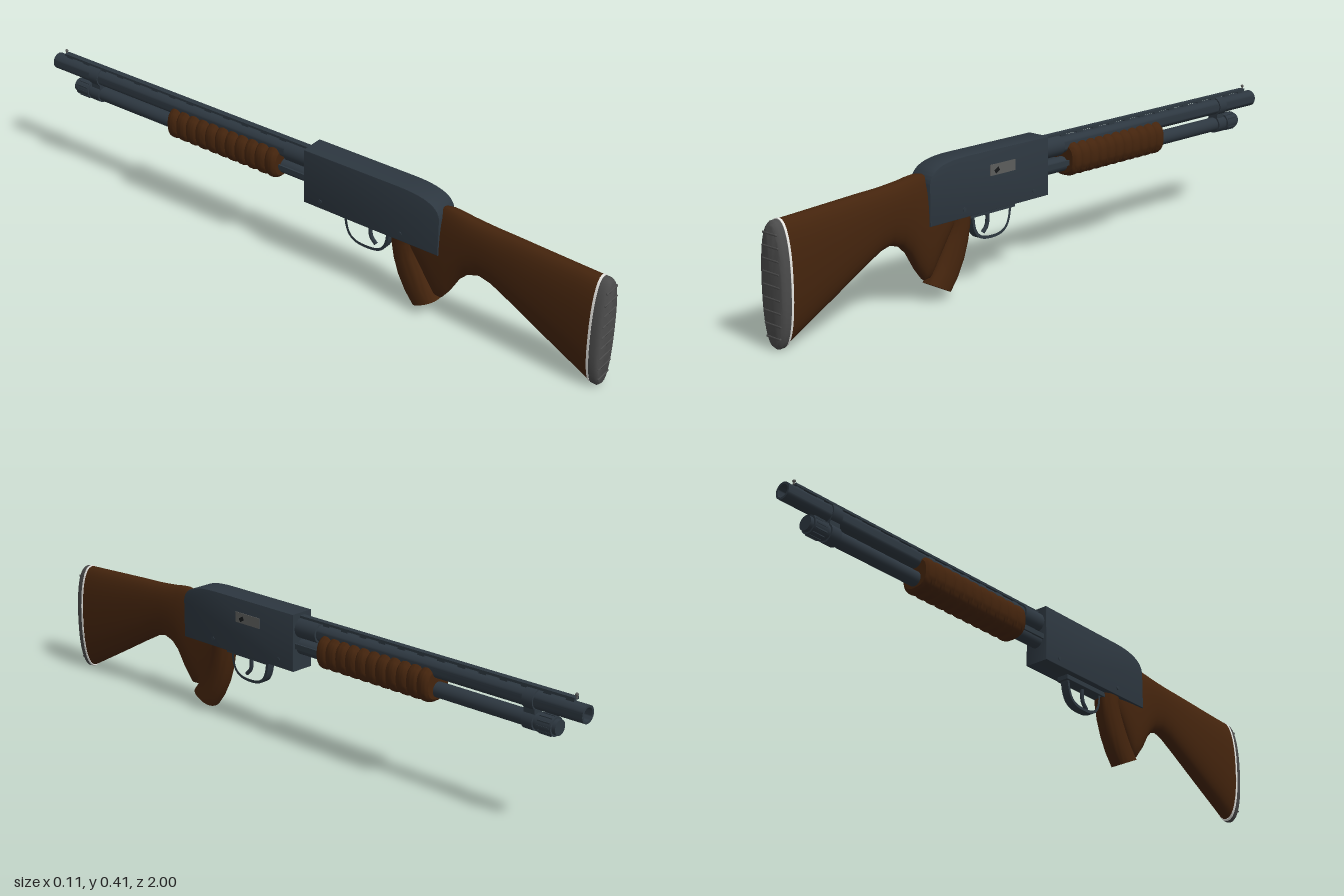
import * as THREE from 'three';
import { toCreasedNormals } from 'three/addons/utils/BufferGeometryUtils.js';

const mat = (name, color) => {
  const m = new THREE.MeshStandardMaterial({ color });
  m.name = name;
  return m;
};

// Loft through oval sections [bottomZ, bottomY, topZ, topY, halfWidth], squareness n
function loft(sections, n = 2.3, seg = 32) {
  const pos = [], index = [];
  const power = v => Math.sign(v) * Math.abs(v) ** (2 / n);
  for (const [z0, y0, z1, y1, w] of sections) {
    for (let j = 0; j < seg; j++) {
      const a = (j / seg) * Math.PI * 2;
      const s = (power(Math.sin(a)) + 1) / 2;
      pos.push(w * power(Math.cos(a)), y0 + (y1 - y0) * s, z0 + (z1 - z0) * s);
    }
  }
  const last = sections.length - 1;
  for (let i = 0; i < last; i++) {
    for (let j = 0; j < seg; j++) {
      const a = i * seg + j, b = i * seg + (j + 1) % seg;
      index.push(a, b, b + seg, a, b + seg, a + seg);
    }
  }
  for (const i of [0, last]) {
    const [z0, y0, z1, y1] = sections[i];
    const c = pos.length / 3;
    pos.push(0, (y0 + y1) / 2, (z0 + z1) / 2);
    for (let j = 0; j < seg; j++) {
      const a = i * seg + j, b = i * seg + (j + 1) % seg;
      if (i === 0) index.push(c, b, a); else index.push(c, a, b);
    }
  }
  const g = new THREE.BufferGeometry();
  g.setAttribute('position', new THREE.Float32BufferAttribute(pos, 3));
  g.setIndex(index);
  return toCreasedNormals(g, 0.65);
}

// Extrude a side profile drawn as (z, y) across the width
function sideExtrude(shape, width, bevel = 0) {
  const depth = width - 2 * bevel;
  const g = new THREE.ExtrudeGeometry(shape, {
    depth, curveSegments: 20, bevelEnabled: bevel > 0,
    bevelSize: bevel, bevelThickness: bevel, bevelOffset: -bevel, bevelSegments: 2
  });
  g.translate(0, 0, -depth / 2).rotateY(-Math.PI / 2);
  return toCreasedNormals(g, 0.5);
}

export function createModel() {
  const group = new THREE.Group();
  const steel = mat('blued steel', 0x2d3740);
  const wood = mat('walnut', 0x44240d);
  const rubber = mat('rubber', 0x4b4b4b);
  const white = mat('white spacer', 0xe8e8e4);
  const grey = mat('bolt grey', 0x5c5d5c);
  const black = mat('black', 0x17191b);

  const add = (name, geometry, material, x = 0, y = 0, z = 0) => {
    const m = new THREE.Mesh(geometry, material);
    m.name = name;
    m.position.set(x, y, z);
    group.add(m);
    return m;
  };
  const box = (name, material, w, h, d, x, y, z) =>
    add(name, new THREE.BoxGeometry(w, h, d), material, x, y, z);
  const rod = (name, r, z0, z1, y, material = steel) =>
    add(name, new THREE.CylinderGeometry(r, r, Math.abs(z1 - z0), 32).rotateX(Math.PI / 2),
      material, 0, y, (z0 + z1) / 2);

  // Receiver with a rounded rear shoulder
  const body = new THREE.Shape();
  body.moveTo(0.01, 0.228);
  body.lineTo(0.478, 0.228);
  body.lineTo(0.478, 0.345);
  body.bezierCurveTo(0.475, 0.385, 0.43, 0.403, 0.34, 0.403);
  body.lineTo(0.01, 0.403);
  add('receiver', sideExtrude(body, 0.077, 0.002), steel);
  box('ejectionPort', grey, 0.003, 0.032, 0.1, 0.039, 0.345, 0.198);
  box('portNotch', black, 0.002, 0.012, 0.018, 0.0405, 0.342, 0.222).rotation.x = 0.5;
  for (const [z, y] of [[0.35, 0.252], [0.07, 0.252]]) {
    add('receiverPin', new THREE.CylinderGeometry(0.006, 0.006, 0.081, 16).rotateZ(Math.PI / 2),
      steel, 0, y, z);
  }

  // Butt stock, neck and the first grip lobe
  const stock = [
    [0.36, 0.215, 0.36, 0.3, 0.024], [0.4, 0.155, 0.4, 0.32, 0.029],
    [0.435, 0.1, 0.435, 0.345, 0.032], [0.455, 0.07, 0.455, 0.36, 0.033],
    [0.475, 0.068, 0.475, 0.372, 0.034], [0.5, 0.1, 0.5, 0.376, 0.035],
    [0.53, 0.152, 0.53, 0.373, 0.035], [0.56, 0.182, 0.56, 0.368, 0.035],
    [0.6, 0.195, 0.6, 0.364, 0.035], [0.64, 0.185, 0.64, 0.361, 0.036],
    [0.7, 0.153, 0.7, 0.359, 0.038], [0.8, 0.097, 0.8, 0.354, 0.042],
    [0.9, 0.042, 0.9, 0.349, 0.045], [0.964, 0.007, 0.964, 0.346, 0.047]
  ];
  add('stock', loft(stock), wood);

  // Second grip, curving down and back behind the trigger
  add('pistolGrip', loft([
    [0.3, 0.24, 0.39, 0.25, 0.033], [0.305, 0.2, 0.378, 0.215, 0.034],
    [0.314, 0.15, 0.392, 0.175, 0.034], [0.33, 0.1, 0.412, 0.135, 0.034],
    [0.355, 0.052, 0.437, 0.092, 0.034], [0.383, 0.015, 0.464, 0.056, 0.034]
  ]), wood);

  // Spacer and ribbed butt pad
  add('spacer', loft([[0.964, 0.004, 0.964, 0.348, 0.0485], [0.971, 0.001, 0.971, 0.348, 0.0485]]), white);
  add('buttPad', loft([
    [0.971, 0.001, 0.971, 0.346, 0.0475], [0.987, 0, 0.987, 0.345, 0.047],
    [0.996, 0.008, 0.996, 0.338, 0.042], [0.998, 0.012, 0.998, 0.334, 0.038]
  ]), rubber);
  for (let i = 0; i < 9; i++) {
    const y = 0.035 + i * 0.0347;
    const half = i === 0 || i === 8 ? 0.029 : 0.034;
    add('padRib', new THREE.CapsuleGeometry(0.0035, half * 2 - 0.007, 4, 8).rotateZ(Math.PI / 2),
      rubber, 0, y, 0.9965);
  }

  // Barrel: outer wall, bore and rounded muzzle lip
  const tube = [[0.019, -0.92], [0.019, -1], [0.0255, -1], [0.0255, 0.02]]
    .map(([r, z]) => new THREE.Vector2(r, -z));
  const barrel = new THREE.LatheGeometry(tube.reverse(), 32).rotateX(-Math.PI / 2);
  add('barrel', toCreasedNormals(barrel, 0.6), steel, 0, 0.357, 0);
  add('bore', new THREE.CircleGeometry(0.019, 24).rotateY(Math.PI), black, 0, 0.357, -0.925);
  rod('barrelCollar', 0.031, 0.02, -0.07, 0.357);

  // Ventilated rib on small posts, with a bead sight
  box('rib', steel, 0.018, 0.007, 0.975, 0, 0.391, -0.475);
  for (let i = 0; i < 14; i++) {
    box('ribPost', steel, 0.012, 0.012, 0.025, 0, 0.383, -0.02 - i * 0.0712);
  }
  add('sightPost', new THREE.CylinderGeometry(0.003, 0.003, 0.012, 10), grey, 0, 0.398, -0.963);
  add('beadSight', new THREE.SphereGeometry(0.005, 12, 8), grey, 0, 0.402, -0.963);

  // Magazine tube, end cap and barrel band
  rod('magazineTube', 0.0225, 0.02, -0.87, 0.298);
  rod('magazineCap', 0.0275, -0.855, -0.905, 0.298);
  rod('magazineCapTip', 0.022, -0.905, -0.916, 0.298);
  for (let i = 0; i < 12; i++) {
    const a = (i / 12) * Math.PI * 2;
    box('capKnurl', steel, 0.004, 0.004, 0.04, Math.cos(a) * 0.027, 0.298 + Math.sin(a) * 0.027, -0.88);
  }
  rod('upperBand', 0.0295, -0.81, -0.845, 0.357);
  rod('lowerBand', 0.0275, -0.81, -0.845, 0.298);
  box('bandBridge', steel, 0.034, 0.06, 0.035, 0, 0.328, -0.8275);
  for (const x of [-0.027, 0.027]) {
    box('actionBar', steel, 0.006, 0.016, 0.13, x, 0.305, -0.05);
  }

  // Ribbed sliding fore-end
  const fore = [];
  const steps = 88;
  for (let i = 0; i <= steps; i++) {
    const t = i / steps;
    const z = -0.507 + t * 0.417;
    const end = Math.min(1, Math.min(t, 1 - t) / 0.025);
    const r = 0.0465 + 0.0065 * Math.sqrt(Math.abs(Math.sin(t * Math.PI * 11))) - 0.004 * (1 - end);
    fore.push([z, 0.313 - r, z, 0.313 + r, r]);
  }
  add('foreEnd', loft(fore, 2.5), wood);

  // Trigger plate, guard loop and trigger
  box('triggerPlate', steel, 0.04, 0.016, 0.18, 0, 0.222, 0.22);
  const outline = (path, d) => {
    path.moveTo(0.295 - d, 0.222);
    path.bezierCurveTo(0.295 - d, 0.15 + d, 0.265, 0.138 + d, 0.215, 0.138 + d);
    path.bezierCurveTo(0.165, 0.138 + d, 0.142 + d, 0.155 + d, 0.138 + d, 0.222);
    path.closePath();
    return path;
  };
  const guard = outline(new THREE.Shape(), 0);
  guard.holes.push(outline(new THREE.Path(), 0.009));
  add('triggerGuard', sideExtrude(guard, 0.026), steel);
  const curve = new THREE.CatmullRomCurve3([[0.225, 0.222], [0.222, 0.195], [0.227, 0.172], [0.243, 0.155]]
    .map(([z, y]) => new THREE.Vector3(0, y, z)));
  add('trigger', new THREE.TubeGeometry(curve, 14, 0.006, 8), steel);

  return group;
}
